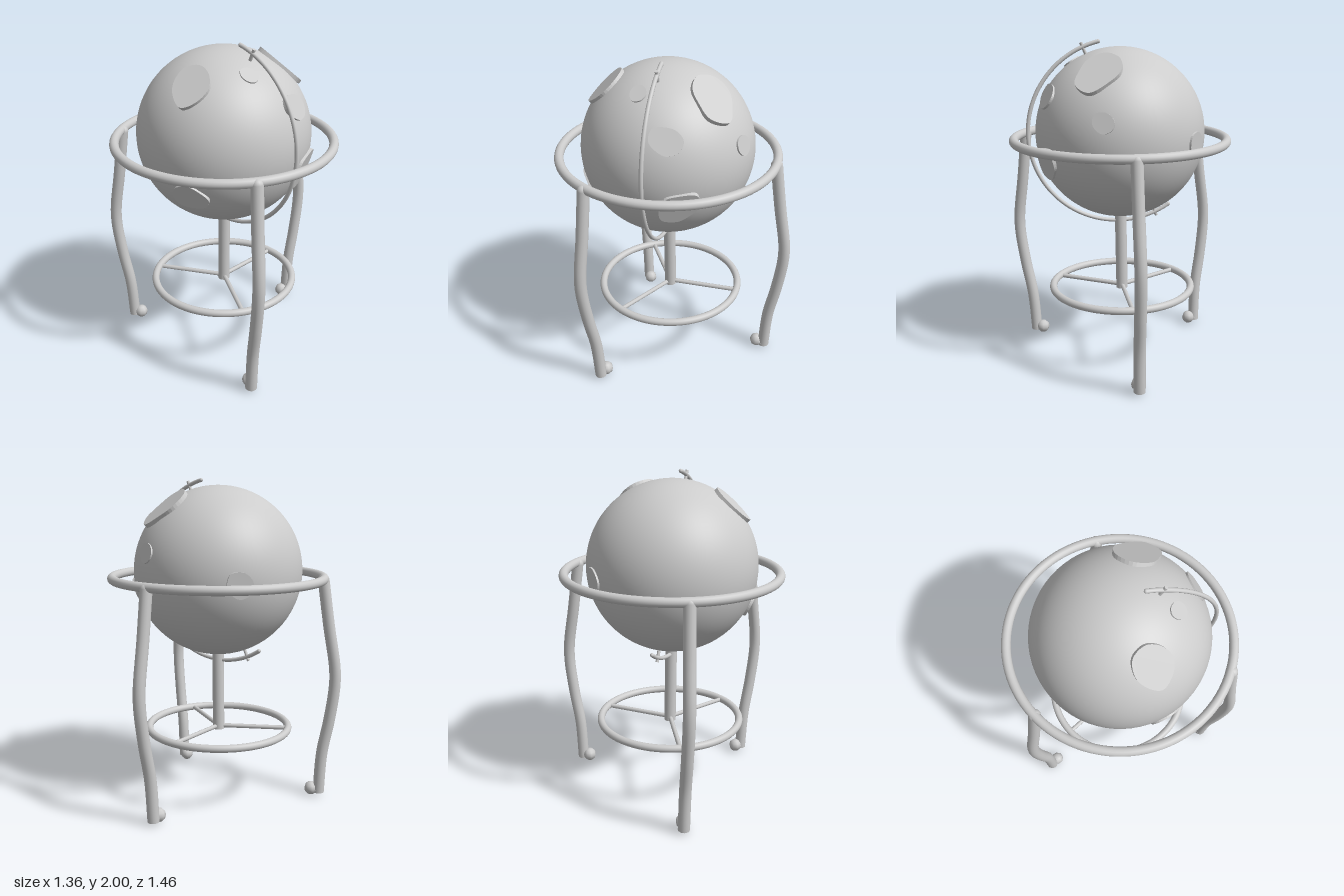
import * as THREE from 'three';

const grey = new THREE.MeshStandardMaterial({ color: 0xcccccc });
grey.name = 'plain grey';

const CENTRE = new THREE.Vector3(0, 1.44, 0.05);
const GLOBE_R = 0.52;

// point of the stand at a radius, angle (from +z towards +x) and height; the stand leans very slightly
const standPoint = (r, a, y) => new THREE.Vector3(
  r * Math.sin(a) + 0.0175 * (y - 1.1), y, r * Math.cos(a) + 0.05 + 0.007 * (y - 1.4));

function add(parent, name, geometry, position) {
  const mesh = new THREE.Mesh(geometry, grey);
  mesh.name = name;
  if (position) mesh.position.copy(position);
  parent.add(mesh);
  return mesh;
}

// round rod between two points
function rod(parent, name, a, b, radius, sides = 16) {
  const mesh = add(parent, name, new THREE.CylinderGeometry(radius, radius, a.distanceTo(b), sides),
    a.clone().add(b).multiplyScalar(0.5));
  mesh.quaternion.setFromUnitVectors(new THREE.Vector3(0, 1, 0), b.clone().sub(a).normalize());
  return mesh;
}

// horizontal ring
function ring(parent, name, radius, tube, position) {
  add(parent, name, new THREE.TorusGeometry(radius, tube, 16, 96), position).rotation.x = Math.PI / 2;
}

// curved leg with a rounded top and a small faceted foot
function leg(parent, a) {
  const g = new THREE.Group();
  g.name = 'leg';
  const profile = [[0.655, 1.39], [0.694, 1.1], [0.734, 0.84], [0.735, 0.72], [0.705, 0.5], [0.663, 0.28], [0.645, 0.02]];
  const path = new THREE.CatmullRomCurve3(profile.map(([r, y]) => standPoint(r, a, y)));
  add(g, 'legTube', new THREE.TubeGeometry(path, 48, 0.036, 16), null);
  add(g, 'legTop', new THREE.SphereGeometry(0.036, 16, 12), standPoint(0.655, a, 1.39));
  add(g, 'legEnd', new THREE.CylinderGeometry(0.036, 0.036, 0.02, 16), standPoint(0.645, a, 0.029));
  add(g, 'foot', new THREE.SphereGeometry(0.043, 8, 6), standPoint(0.597, a, 0.043));
  parent.add(g);
}

// thin land plate tangent to the globe: direction, half width, half height, outline radii
function landPlate(parent, dir, w, h, radii) {
  const pts = radii.map((r, i) => {
    const t = (i / radii.length) * Math.PI * 2;
    return new THREE.Vector3(r * w * Math.cos(t), r * h * Math.sin(t), 0);
  });
  const outline = new THREE.CatmullRomCurve3(pts, true).getPoints(40).slice(0, -1);
  const shape = new THREE.Shape(outline.map((p) => new THREE.Vector2(p.x, p.y)));
  const depth = 0.025;
  const geometry = new THREE.ExtrudeGeometry(shape, { depth, bevelEnabled: false });
  const n = new THREE.Vector3(...dir).normalize();
  const mesh = add(parent, 'landPlate', geometry, CENTRE.clone().addScaledVector(n, 0.525 - depth));
  mesh.lookAt(mesh.position.clone().add(n));
}

export function createModel() {
  const model = new THREE.Group();
  model.name = 'globeOnStand';

  // globe with land plates
  const globe = new THREE.Group();
  globe.name = 'globe';
  model.add(globe);
  add(globe, 'sphere', new THREE.SphereGeometry(GLOBE_R, 64, 48), CENTRE);
  const pebble = [1, 0.9, 0.95, 1.05, 0.95, 0.9, 1, 1.02];
  [
    [[0.093, 0.38, 0.343], 0.114, 0.132, [1, 0.95, 1, 1.05, 0.95, 0.9, 1.05, 0.95]],
    [[0.177, -0.22, 0.437], 0.11, 0.092, [1, 0.85, 1, 1, 1, 1.1, 0.95, 1]],
    [[0.285, 0.426, 0.09], 0.052, 0.055, pebble],
    [[0.447, 0.24, -0.11], 0.097, 0.085, [0.95, 0.85, 0.85, 1.1, 1, 0.85, 0.95, 1]],
    [[0.17, 0.395, -0.295], 0.14, 0.14, [0.98, 1.07, 1.06, 0.9, 0.8, 1.07, 1.2, 0.9]],
    [[0.464, -0.15, -0.18], 0.12, 0.11, [0.95, 1.2, 0.9, 0.95, 0.9, 1.1, 0.95, 0.78]],
    [[0.163, 0.13, -0.476], 0.066, 0.062, pebble],
    [[-0.4, -0.03, -0.33], 0.08, 0.08, pebble],
  ].forEach((p) => landPlate(globe, ...p));

  // tilted meridian arc with pole pins
  const meridian = new THREE.Group();
  meridian.name = 'meridian';
  meridian.position.copy(CENTRE);
  model.add(meridian);
  const onArc = (deg, r) => {
    const t = THREE.MathUtils.degToRad(deg);
    return new THREE.Vector3(r * Math.cos(t), r * Math.sin(t), 0);
  };
  const arcR = 0.565, from = -123.5, to = 76.5;
  add(meridian, 'meridianArc', new THREE.TorusGeometry(arcR, 0.0125, 12, 80, THREE.MathUtils.degToRad(to - from)))
    .rotation.z = THREE.MathUtils.degToRad(from);
  for (const end of [from, to]) {
    add(meridian, 'arcEnd', new THREE.SphereGeometry(0.0125, 12, 8), onArc(end, arcR));
  }
  for (const pole of [66.5, -113.5]) {
    rod(meridian, 'polePin', onArc(pole, 0.5), onArc(pole, 0.592), 0.01, 12);
  }

  // stand: horizon ring, legs, lower ring with spokes, central post
  const stand = new THREE.Group();
  stand.name = 'stand';
  model.add(stand);
  ring(stand, 'horizonRing', 0.654, 0.028, new THREE.Vector3(0, 1.4, 0.048));
  const hub = standPoint(0, 0, 0.44);
  ring(stand, 'lowerRing', 0.445, 0.023, hub);
  rod(stand, 'centralPost', standPoint(0, 0, 0.42), standPoint(0, 0, 0.96), 0.037, 24);
  for (let i = 0; i < 3; i++) {
    const a = Math.PI + (i * Math.PI * 2) / 3;
    leg(stand, a);
    rod(stand, 'spoke', hub, standPoint(0.445, a, 0.44), 0.014, 8);
  }
  return model;
}
